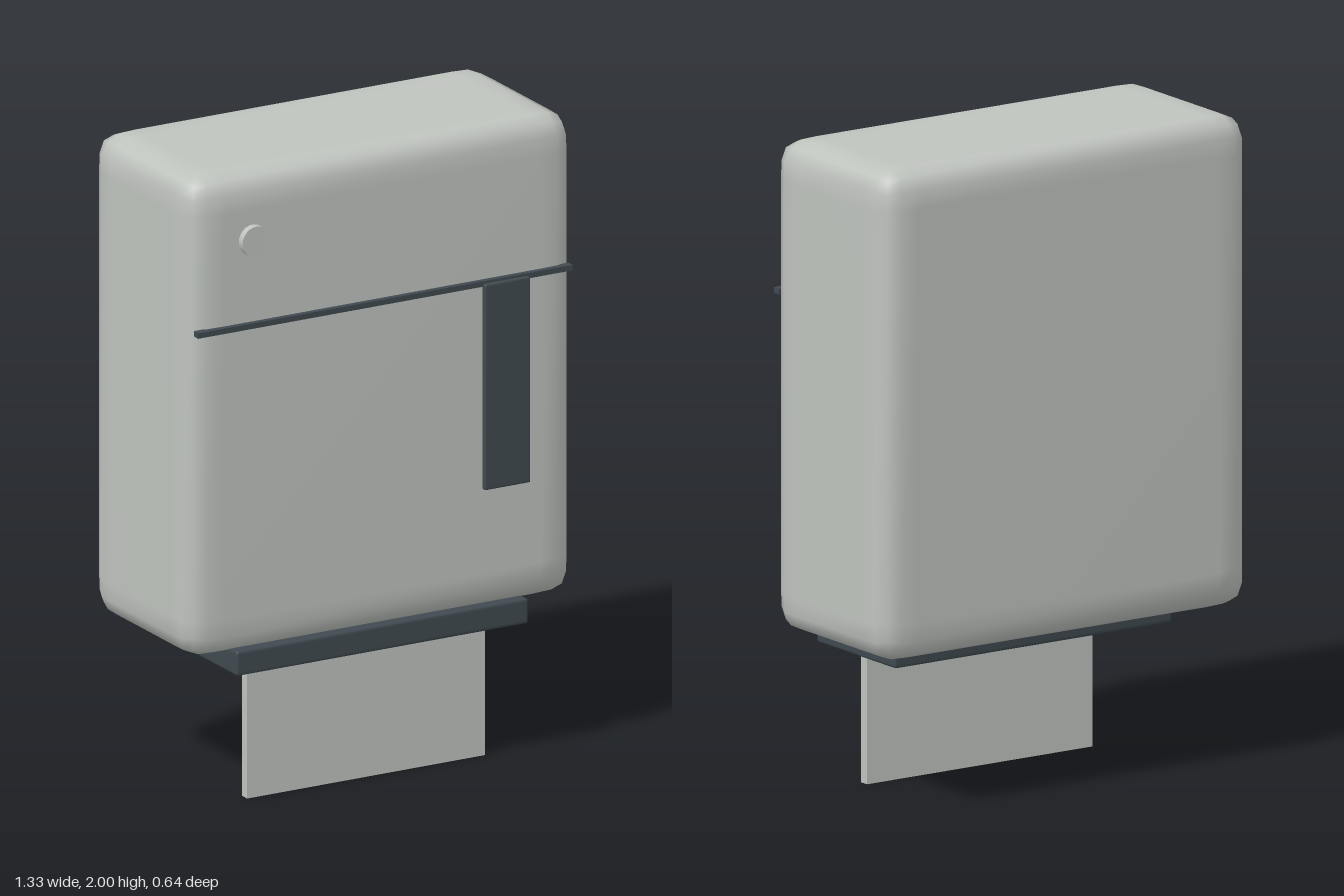
import * as THREE from 'three';
import { mergeVertices } from 'three/addons/utils/BufferGeometryUtils.js';

// Box given by its limits, with softly swollen edges: r is the edge size
function softBox(x0, x1, y0, y1, z0, z1, r) {
  const geo = new THREE.BoxGeometry(1, 1, 1, 5, 5, 5);
  const half = [(x1 - x0) / 2, (y1 - y0) / 2, (z1 - z0) / 2];
  const pos = geo.attributes.position;
  const power = 3.8;
  for (let i = 0; i < pos.count; i++) {
    const g = [pos.getX(i), pos.getY(i), pos.getZ(i)];
    const u = g.map((v) => Math.max(0, (Math.abs(v) - 0.1) * 2.5));
    const len = Math.pow(u.reduce((s, v) => s + Math.pow(v, power), 0), 1 / power);
    const p = g.map((v, k) => Math.sign(v) * (half[k] - r + (r * u[k]) / len));
    pos.setXYZ(i, p[0], p[1], p[2]);
  }
  geo.deleteAttribute('normal');
  geo.deleteAttribute('uv');
  const smooth = mergeVertices(geo, 1e-5);
  smooth.computeVertexNormals();
  smooth.translate((x0 + x1) / 2, (y0 + y1) / 2, (z0 + z1) / 2);
  return smooth;
}

// Plain sharp box given by its limits
function box(x0, x1, y0, y1, z0, z1) {
  return new THREE.BoxGeometry(x1 - x0, y1 - y0, z1 - z0)
    .translate((x0 + x1) / 2, (y0 + y1) / 2, (z0 + z1) / 2);
}

export function createModel() {
  const casing = new THREE.MeshStandardMaterial({ color: 0xc0c4bf });
  casing.name = 'light grey casing';
  const trim = new THREE.MeshStandardMaterial({ color: 0x3f4a50 });
  trim.name = 'dark slate trim';

  const group = new THREE.Group();
  group.name = 'towelDispenser';
  const add = (name, geometry, material) => {
    const mesh = new THREE.Mesh(geometry, material);
    mesh.name = name;
    group.add(mesh);
  };

  // Rounded cabinet
  add('cabinet', softBox(-0.665, 0.665, 0.49, 2, -0.32, 0.274, 0.12), casing);

  // Dark line between lid and door, and the tall window below it
  add('lidSeam', box(-0.648, 0.645, 1.515, 1.532, 0.266, 0.292), trim);
  add('levelWindow', softBox(0.335, 0.492, 0.878, 1.524, 0.284, 0.305, 0.008), trim);

  // Round lock button
  const lock = new THREE.CylinderGeometry(0.048, 0.048, 0.023, 24);
  lock.rotateX(Math.PI / 2).translate(-0.463, 1.797, 0.3085);
  add('lockButton', lock, casing);

  // Outlet tray under the cabinet with a hanging sheet
  add('outletTray', softBox(-0.505, 0.502, 0.425, 0.503, -0.135, 0.275, 0.012), trim);
  add('towelSheet', box(-0.413, 0.407, 0, 0.45, 0.147, 0.179), casing);

  return group;
}
